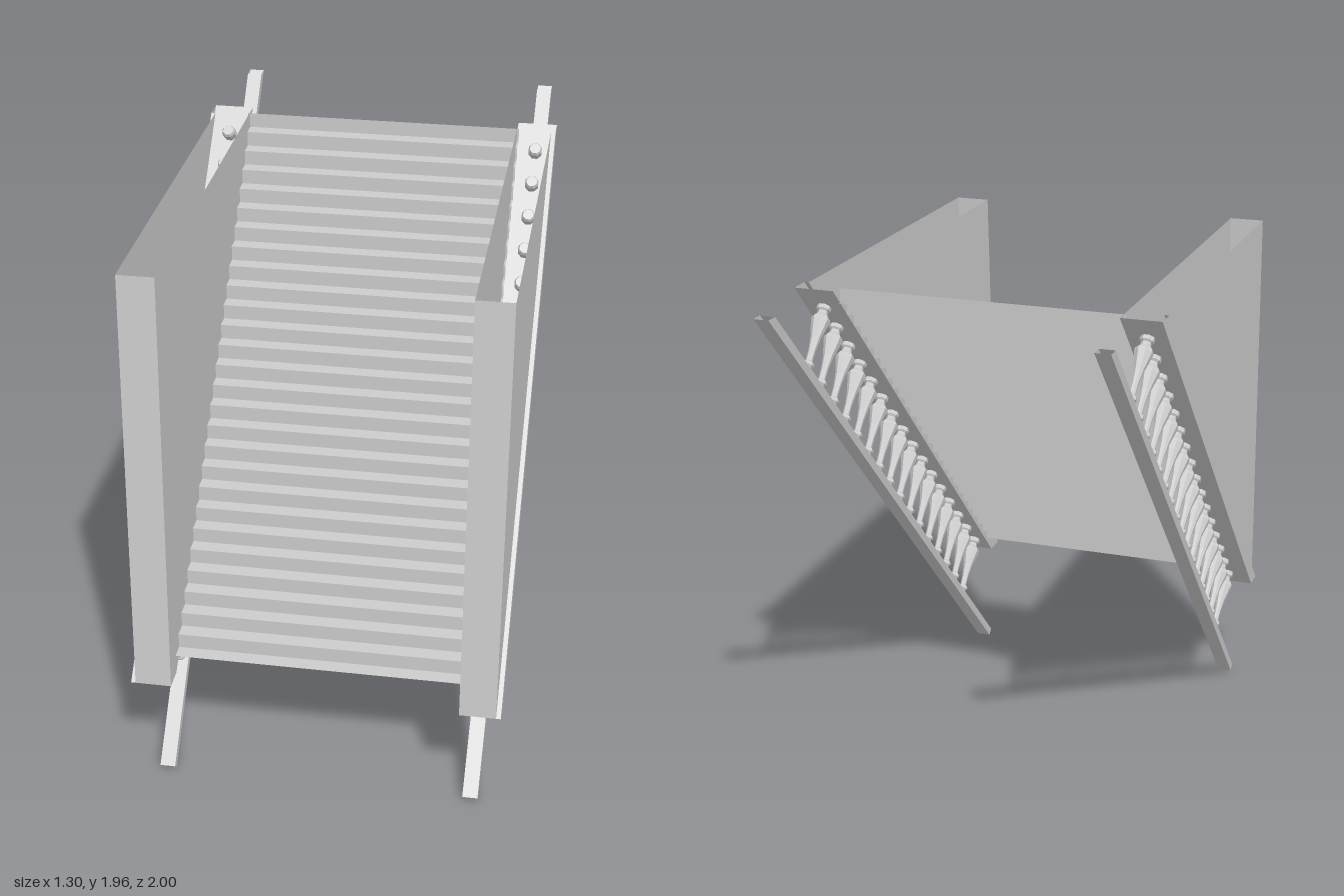
import * as THREE from 'three';

const grey = new THREE.MeshStandardMaterial({ color: 0xcccccc, side: THREE.DoubleSide });

function add(parent, name, geometry) {
  const mesh = new THREE.Mesh(geometry, grey);
  mesh.name = name;
  parent.add(mesh);
  return mesh;
}

// Flat-faced sheet from convex polygons, corners anticlockwise seen from outside
function sheet(polygons) {
  const positions = [];
  for (const p of polygons)
    for (let i = 1; i < p.length - 1; i++) positions.push(...p[0], ...p[i], ...p[i + 1]);
  const geometry = new THREE.BufferGeometry();
  geometry.setAttribute('position', new THREE.Float32BufferAttribute(positions, 3));
  geometry.computeVertexNormals();
  return geometry;
}

// Zigzag of treads and risers, each tread ending at the next riser
function stepsGeometry() {
  const count = 27, rise = 1.46 / count, half = 0.512, polygons = [];
  const strip = (y0, z0, y1, z1) => [[-half, y0, z0], [half, y0, z0], [half, y1, z1], [-half, y1, z1]];
  for (let i = 0; i < count; i++) {
    const y = 0.492 + i * rise, z = 0.92 - i * rise;
    polygons.push(strip(y, z, y, z - rise), strip(y, z - rise, y + rise, z - rise));
  }
  return sheet(polygons);
}

// Hollow side wall, open at the top and toe, with a wider sloping lip below
function wallGeometry() {
  const inner = 0.505, outer = 0.632, lip = 0.648;
  const toe = [0.42, 1.0], heel = [0.42, 0.92], head = [1.955, -0.595], ledge = [1.955, -0.515], top = [1.955, 0.91];
  const at = (x, ...pts) => pts.map(([y, z]) => [x, y, z]);
  const strip = (a, b, x0, x1) => [[x0, ...a], [x1, ...a], [x1, ...b], [x0, ...b]];
  return sheet([
    at(inner, heel, toe, top, head),
    at(inner, head, top, ledge),
    at(outer, toe, ledge, top),
    at(lip, toe, heel, head, ledge),
    strip(toe, ledge, outer, lip),
    strip(toe, top, inner, outer),
    strip(head, heel, inner, lip),
  ]);
}

// Sloping hollow rail with open ends, drifting outwards as it climbs
const railX = y => 0.548 + 0.0125 * y;
function railGeometry() {
  const corner = (y, z, side) => [railX(y) + side * 0.027, y, z];
  const lower = side => [corner(0, 0.93, side), corner(1.957, -1, side)];
  const upper = side => [corner(0.02, 0.953, side), corner(1.957, -0.952, side)];
  const face = ([a, b], [c, d]) => [a, c, d, b];
  return sheet([
    face(upper(-1), upper(1)),
    face(upper(1), lower(1)),
    face(lower(1), lower(-1)),
    face(lower(-1), upper(-1)),
  ]);
}

// Turned post, from the rail end to the block inside the wall
function balusterGeometry() {
  const profile = [[0, -0.005], [0.015, -0.005], [0.015, 0.016], [0.021, 0.022], [0.021, 0.032], [0.012, 0.04],
    [0.0125, 0.08], [0.018, 0.13], [0.028, 0.175], [0.033, 0.197], [0.032, 0.207], [0.018, 0.224], [0.018, 0.234],
    [0.025, 0.24], [0.026, 0.285], [0.02, 0.296], [0, 0.296]];
  const lathe = new THREE.LatheGeometry(profile.map(p => new THREE.Vector2(...p)), 8, Math.PI / 8);
  const geometry = lathe.toNonIndexed();
  geometry.computeVertexNormals();
  return geometry;
}

export function createModel() {
  const model = new THREE.Group();
  add(model, 'steps', stepsGeometry());

  const wall = wallGeometry(), rail = railGeometry(), baluster = balusterGeometry();
  const up = new THREE.Vector3(0, 1, 0);
  const lean = new THREE.Vector3(0.008, 0.176, 0.18).normalize();
  for (const side of [1, -1]) {
    const group = new THREE.Group();
    group.name = side > 0 ? 'leftSide' : 'rightSide';
    group.scale.x = side;
    model.add(group);
    add(group, 'sideWall', wall);
    add(group, 'handrail', rail);
    // Row of posts between rail and wall
    for (let i = 0; i < 16; i++) {
      const y = 0.305 + 1.39 * i / 15;
      const post = add(group, 'baluster', baluster);
      post.position.set(railX(y), y, 0.672 - 1.367 * i / 15);
      post.quaternion.setFromUnitVectors(up, lean);
    }
  }
  return model;
}
